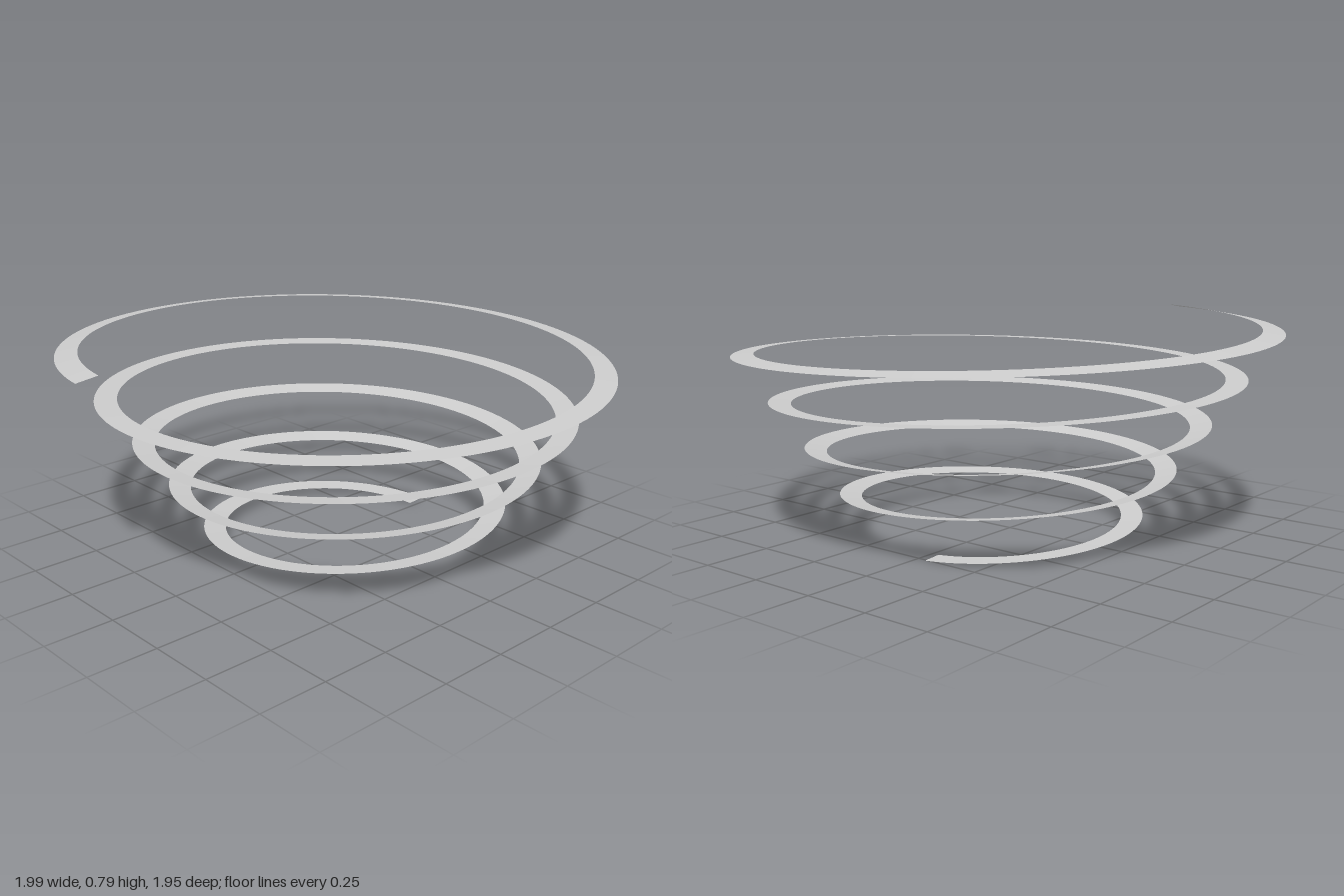
import * as THREE from 'three';

// Flat ribbon that climbs in a widening spiral and rolls slowly about its own path
const SWEEP = 28;          // total winding in radians
const START = 0.127;       // angle of the lower end
const WIDTH = 0.08;
const STEPS = 700;
const CENTRE_X = 0.0215, CENTRE_Z = 0.027;

// Point on the ribbon: s = winding so far, side = -1 inner edge, +1 outer edge
function ribbonPoint(s, side) {
  const angle = START + s;
  const bank = 0.2 * Math.sin(0.15 * s);
  const offset = side * WIDTH / 2;
  const radius = 0.449 + 0.0194 * s + offset * Math.cos(bank);
  return [
    CENTRE_X + radius * Math.cos(angle),
    0.02785 * s + offset * Math.sin(bank),
    CENTRE_Z - radius * Math.sin(angle),
  ];
}

function ribbonGeometry() {
  const positions = [], indices = [];
  for (let i = 0; i <= STEPS; i++) {
    const s = (SWEEP * i) / STEPS;
    positions.push(...ribbonPoint(s, -1), ...ribbonPoint(s, 1));
    if (i < STEPS) {
      const a = 2 * i;
      indices.push(a, a + 1, a + 3, a, a + 3, a + 2);
    }
  }
  const geometry = new THREE.BufferGeometry();
  geometry.setAttribute('position', new THREE.Float32BufferAttribute(positions, 3));
  geometry.setIndex(indices);
  geometry.computeVertexNormals();
  return geometry;
}

export function createModel() {
  const group = new THREE.Group();
  group.name = 'spiral';
  const material = new THREE.MeshStandardMaterial({ color: 0xcccccc, side: THREE.DoubleSide });
  const ribbon = new THREE.Mesh(ribbonGeometry(), material);
  ribbon.name = 'spiralRibbon';
  group.add(ribbon);
  return group;
}
